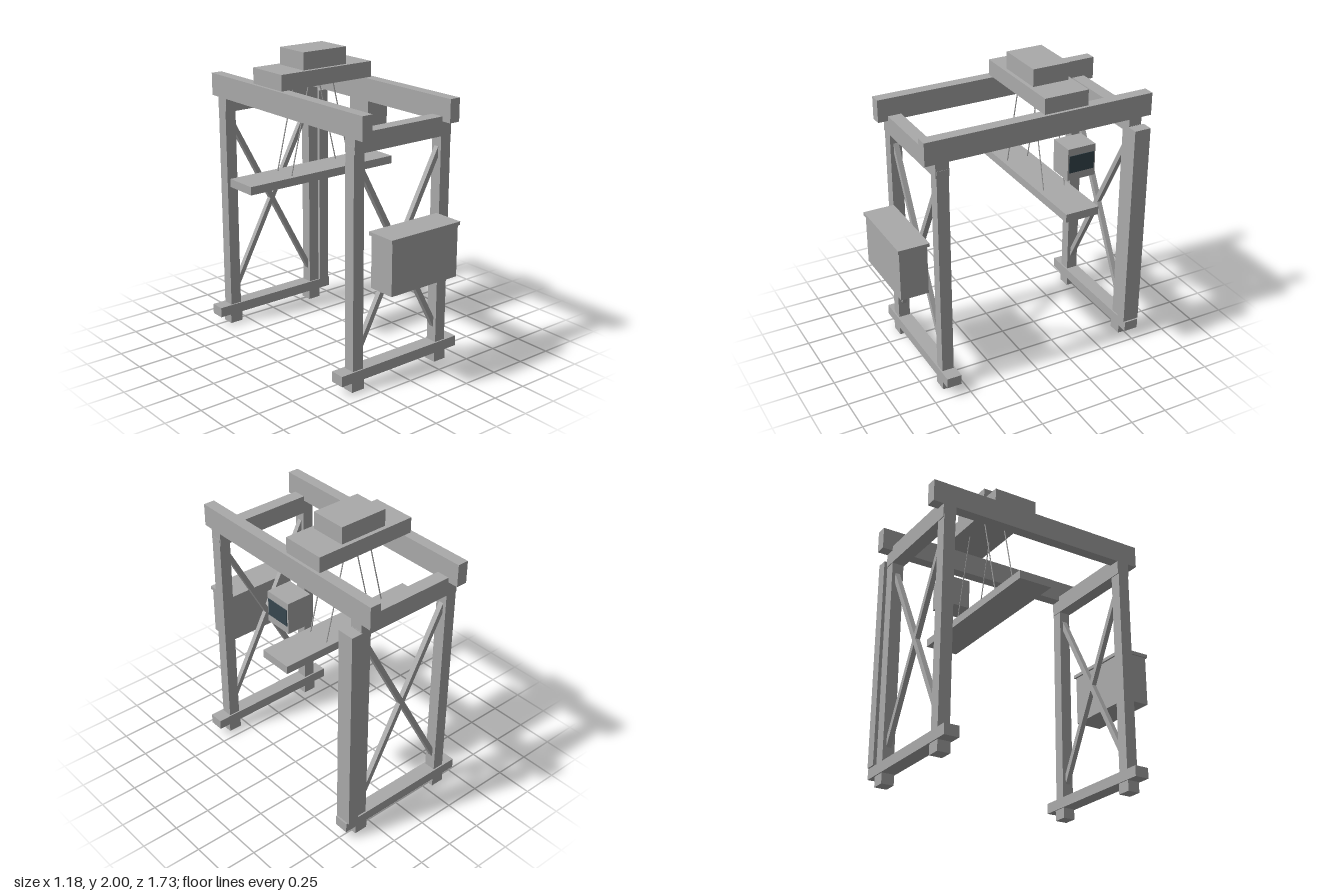
import * as THREE from 'three';

export function createModel() {
  const steel = new THREE.MeshStandardMaterial({ color: 0xaaaaaa });
  steel.name = 'grey steel';
  const glass = new THREE.MeshStandardMaterial({ color: 0x37474f });
  glass.name = 'dark glass';

  const crane = new THREE.Group();
  crane.name = 'gantryCrane';

  // Box given by its limits along each axis
  function box(name, [x0, x1], [y0, y1], [z0, z1], parent = crane, material = steel) {
    const mesh = new THREE.Mesh(new THREE.BoxGeometry(x1 - x0, y1 - y0, z1 - z0), material);
    mesh.position.set((x0 + x1) / 2, (y0 + y1) / 2, (z0 + z1) / 2);
    mesh.name = name;
    parent.add(mesh);
    return mesh;
  }
  const around = (centre, size) => [centre - size / 2, centre + size / 2];

  // Portal frames: feet, sill, legs, top beam and crossed braces
  for (const [name, z] of [['frontFrame', 0.605], ['backFrame', -0.747]]) {
    const frame = new THREE.Group();
    frame.name = name;
    frame.position.z = z;
    crane.add(frame);
    box('sillBeam', [-0.483, 0.483], [0.07, 0.14], around(0, 0.1), frame);
    box('portalBeam', [-0.387, 0.387], [1.535, 1.66], around(0, 0.09), frame);
    for (const side of [-1, 1]) {
      box('foot', around(side * 0.349, 0.095), [0, 0.07], around(0, 0.085), frame);
      box('leg', around(side * 0.349, 0.08), [0.14, 1.58], around(0, 0.08), frame);
      const dx = 0.68, dy = 1.267;
      const brace = new THREE.Mesh(new THREE.BoxGeometry(0.034, Math.hypot(dx, dy), 0.034), steel);
      brace.name = 'diagonalBrace';
      brace.position.y = 0.853;
      brace.rotation.z = side * Math.atan2(dx, dy);
      frame.add(brace);
    }
  }

  // Long girders carrying the trolley
  for (const side of [-1, 1]) {
    box('girder', around(side * 0.349, 0.077), [1.628, 1.78], [-0.864, 0.718]);
  }

  // Trolley and its machinery house
  box('trolley', [-0.366, 0.366], [1.78, 1.885], [-0.402, -0.094]);
  box('machineryHouse', [-0.173, 0.173], [1.885, 2], [-0.374, -0.121]);

  // Spreader hung on four slanting ropes
  box('spreader', [-0.59, 0.59], [1.135, 1.19], [-0.362, -0.13]);
  for (const side of [-1, 1]) {
    for (const z of [-0.167, -0.321]) {
      const path = new THREE.LineCurve3(
        new THREE.Vector3(side * 0.097, 1.785, z),
        new THREE.Vector3(side * 0.245, 1.185, z)
      );
      const rope = new THREE.Mesh(new THREE.TubeGeometry(path, 1, 0.004, 6), steel);
      rope.name = 'hoistRope';
      crane.add(rope);
    }
  }

  // Operator cabin with its side window
  box('cabin', [0.388, 0.558], [1.405, 1.615], [-0.342, -0.15]);
  box('cabinWindow', [0.556, 0.562], [1.455, 1.568], [-0.332, -0.159], crane, glass);

  // Lift shaft beside the back leg
  box('liftShaft', [0.394, 0.471], [0.14, 1.58], around(-0.75, 0.115));

  // Equipment house on the front frame
  box('equipmentHouse', [-0.268, 0.268], [0.68, 1.02], [0.668, 0.857]);
  box('equipmentRoof', [-0.279, 0.279], [1.02, 1.043], [0.655, 0.866]);

  return crane;
}
